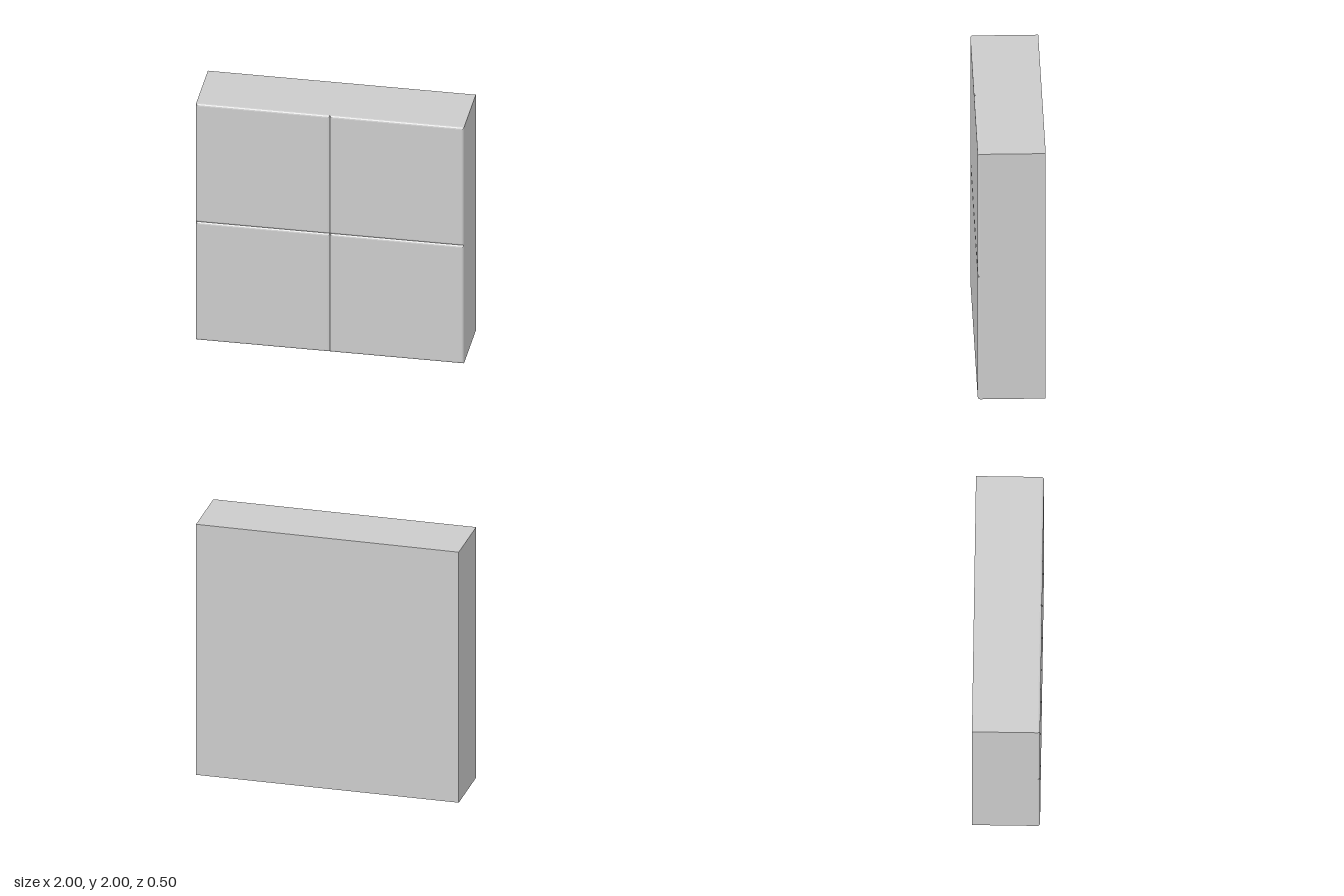
import * as THREE from 'three';

const FRONT = 0.25;   // front plane of the panels
const BEVEL = 0.016;  // size of the rounded panel edge
const STEPS = 3;

// Square panel face with a rounded-over rim: a four-sided lathe, turned to face +z
function panelGeometry() {
  const profile = [];
  for (let i = 0; i <= STEPS; i++) {
    const a = (i / STEPS) * Math.PI / 2;
    const half = 0.5 - BEVEL * (1 - Math.cos(a));
    profile.push(new THREE.Vector2(half * Math.SQRT2, BEVEL * Math.sin(a)));
  }
  profile.push(new THREE.Vector2(0, BEVEL));
  const geometry = new THREE.LatheGeometry(profile, 4, Math.PI / 4).toNonIndexed();
  geometry.rotateX(Math.PI / 2);
  geometry.computeVertexNormals();
  return geometry;
}

export function createModel() {
  const model = new THREE.Group();
  model.name = 'panelledBlock';
  const material = new THREE.MeshStandardMaterial({ color: 0xcccccc, flatShading: true });

  // Solid block behind the panels
  const depth = 2 * FRONT - BEVEL;
  const block = new THREE.Mesh(new THREE.BoxGeometry(2, 2, depth), material);
  block.name = 'block';
  block.position.set(0, 1, -BEVEL / 2);
  model.add(block);

  // Four front panels; their rounded rims form the cross-shaped groove
  const geometry = panelGeometry();
  for (const [row, y] of [['lower', 0.5], ['upper', 1.5]]) {
    for (const [side, x] of [['Left', 0.5], ['Right', -0.5]]) {
      const panel = new THREE.Mesh(geometry, material);
      panel.name = `${row}${side}Panel`;
      panel.position.set(x, y, FRONT - BEVEL);
      model.add(panel);
    }
  }
  return model;
}
